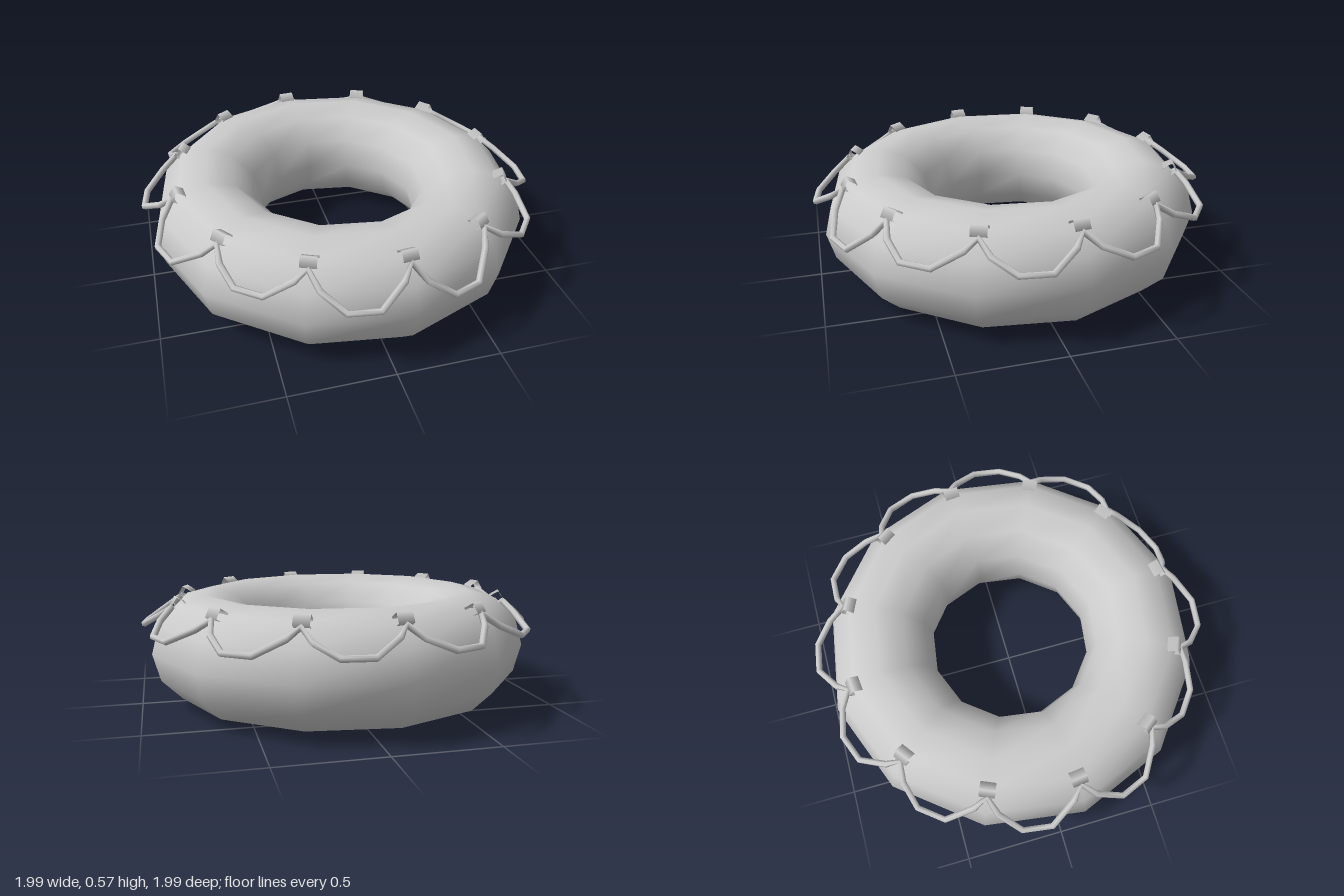
import * as THREE from 'three';

const COUNT = 12;
const STEP = (Math.PI * 2) / COUNT;

// Closed polyline whose corners are kept exactly
class ClosedPolyline extends THREE.Curve {
  constructor(points) {
    super();
    this.points = points;
  }
  getPoint(t, target = new THREE.Vector3()) {
    const n = this.points.length;
    const s = t * n;
    const i = Math.floor(s + 1e-6);
    return target.lerpVectors(this.points[i % n], this.points[(i + 1) % n], Math.max(0, s - i));
  }
  getTangent(t, target = new THREE.Vector3()) {
    const n = this.points.length;
    const i = Math.round(t * n);
    return target.subVectors(this.points[(i + 1) % n], this.points[(i + n - 1) % n]).normalize();
  }
  getPointAt(t, target) { return this.getPoint(t, target); }
  getTangentAt(t, target) { return this.getTangent(t, target); }
}

const polar = (angle, r, y) => new THREE.Vector3(Math.cos(angle) * r, y, Math.sin(angle) * r);

export function createModel() {
  const model = new THREE.Group();
  model.name = 'lifebuoy';
  const material = new THREE.MeshStandardMaterial({ color: 0xcccccc });
  const thin = new THREE.MeshStandardMaterial({ color: 0xcccccc, side: THREE.DoubleSide });

  // Everything shares a small twist and a slight lean
  const tilt = new THREE.Group();
  tilt.name = 'tilt';
  tilt.position.x = -0.012;
  tilt.rotation.set(0.01, 0, -0.005);
  const body = new THREE.Group();
  body.name = 'body';
  body.rotation.y = 0.118;
  tilt.add(body);
  model.add(tilt);

  // Inflated ring
  const ringGeometry = new THREE.TorusGeometry(0.684, 0.274, 12, COUNT);
  ringGeometry.rotateX(Math.PI / 2);
  const ring = new THREE.Mesh(ringGeometry, material);
  ring.name = 'ring';
  ring.position.y = 0.288;
  body.add(ring);

  // Open diamond-section sleeves that hold the rope, axis along the ring
  const sleeveGeometry = new THREE.CylinderGeometry(0.036, 0.036, 0.076, 4, 1, true);
  sleeveGeometry.rotateX(Math.PI / 2);
  for (let k = 0; k < COUNT; k++) {
    const sleeve = new THREE.Mesh(sleeveGeometry, thin);
    sleeve.name = 'ropeSleeve';
    sleeve.position.copy(polar(k * STEP, 0.823, 0.53));
    sleeve.rotation.set(0, -k * STEP, -0.25, 'YXZ');
    body.add(sleeve);
  }

  // Grab rope: one sagging loop between each pair of sleeves
  const sagY = [0.41, 0.415, 0.352, 0.39, 0.41, 0.39, 0.385, 0.4, 0.41, 0.41, 0.41, 0.41];
  const reach = [0.985, 0.98, 0.965, 0.985, 0.955, 0.985, 0.985, 0.985, 0.98, 0.985, 0.985, 0.985];
  // [fraction along loop, fraction of sag]
  const loop = [[0, 0], [0.11, 0.4], [0.36, 1], [0.64, 1], [0.87, 0.5]];
  const points = [];
  for (let k = 0; k < COUNT; k++) {
    for (const [t, sag] of loop) {
      points.push(polar(
        (k + t) * STEP,
        THREE.MathUtils.lerp(0.855, reach[k], sag),
        THREE.MathUtils.lerp(0.512, sagY[k], sag)
      ));
    }
  }
  const rope = new THREE.Mesh(
    new THREE.TubeGeometry(new ClosedPolyline(points), points.length, 0.016, 6, true),
    material
  );
  rope.name = 'grabRope';
  body.add(rope);

  return model;
}
